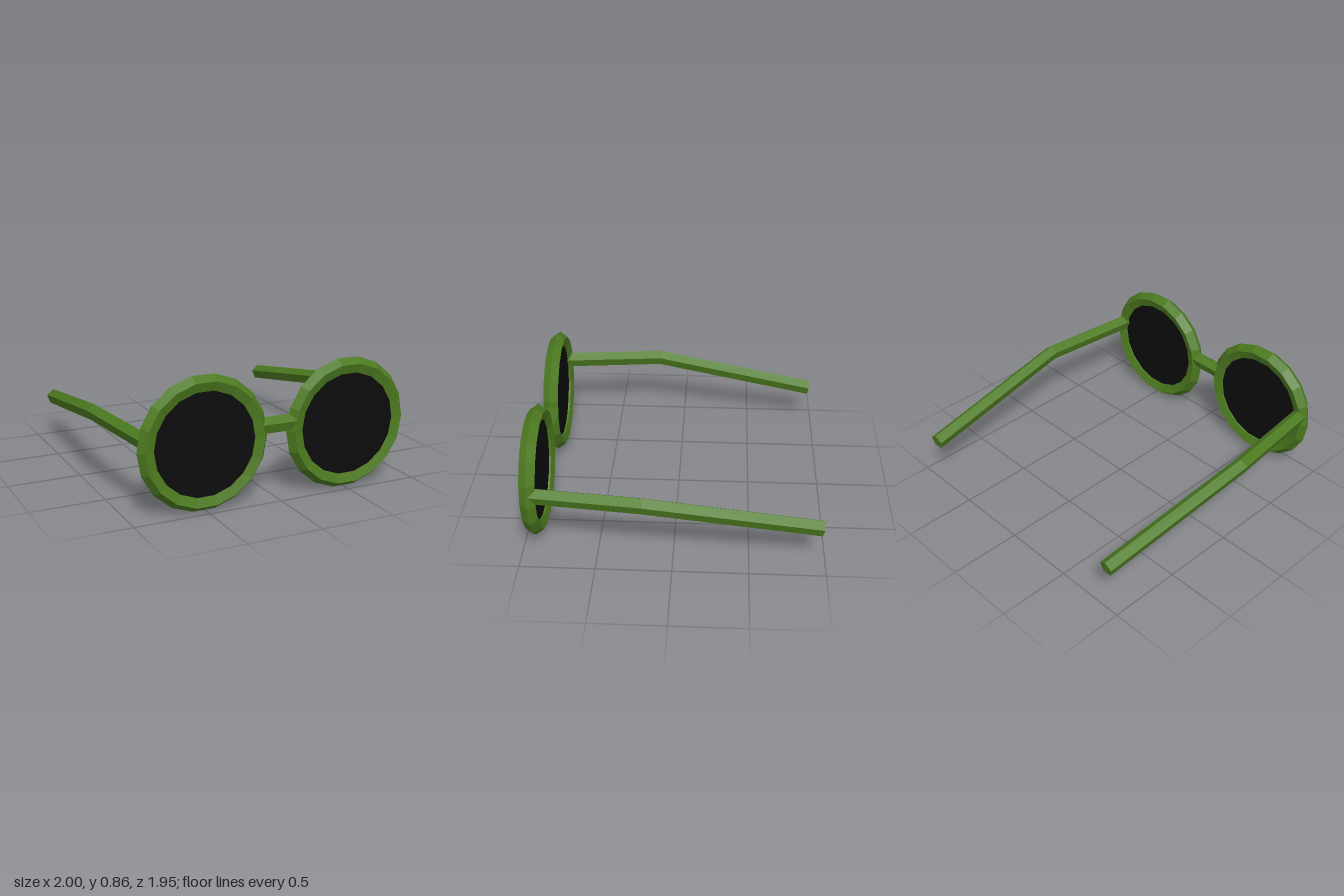
import * as THREE from 'three';

const TUBE = 0.055; // radius of every five-sided rod
const FRONT_Z = 0.923;
const BAR_Y = 0.49;

// Gives each facet its own flat normal.
function faceted(geometry) {
  const flat = geometry.index ? geometry.toNonIndexed() : geometry;
  flat.computeVertexNormals();
  return flat;
}

// Sweeps a pentagon, one corner up, along a list of points and caps both ends.
function pentagonRod(points) {
  const sides = 5;
  const positions = [];
  const index = [];
  const worldUp = new THREE.Vector3(0, 1, 0);
  points.forEach((p, i) => {
    const tangent = new THREE.Vector3();
    if (i > 0) tangent.add(p.clone().sub(points[i - 1]).normalize());
    if (i < points.length - 1) tangent.add(points[i + 1].clone().sub(p).normalize());
    tangent.normalize();
    const side = worldUp.clone().cross(tangent).normalize();
    const up = tangent.clone().cross(side);
    for (let k = 0; k < sides; k++) {
      const angle = Math.PI / 2 + (k * 2 * Math.PI) / sides;
      const v = p.clone()
        .addScaledVector(side, TUBE * Math.cos(angle))
        .addScaledVector(up, TUBE * Math.sin(angle));
      positions.push(v.x, v.y, v.z);
    }
  });
  for (let i = 0; i < points.length - 1; i++) {
    for (let k = 0; k < sides; k++) {
      const a = i * sides + k;
      const b = i * sides + ((k + 1) % sides);
      index.push(a, b, b + sides, a, b + sides, a + sides);
    }
  }
  const last = (points.length - 1) * sides;
  for (let k = 1; k < sides - 1; k++) {
    index.push(0, k + 1, k, last, last + k, last + k + 1);
  }
  const geometry = new THREE.BufferGeometry();
  geometry.setAttribute('position', new THREE.Float32BufferAttribute(positions, 3));
  geometry.setIndex(index);
  return faceted(geometry);
}

export function createModel() {
  const model = new THREE.Group();
  model.name = 'sunglasses';

  const frameGreen = new THREE.MeshStandardMaterial({ color: 0x4c7a1f });
  frameGreen.name = 'frame green';
  const lensBlack = new THREE.MeshStandardMaterial({ color: 0x0c0c0c });
  lensBlack.name = 'lens black';

  const add = (name, geometry, material) => {
    const mesh = new THREE.Mesh(geometry, material);
    mesh.name = name;
    model.add(mesh);
    return mesh;
  };

  for (const [label, s] of [['left', 1], ['right', -1]]) {
    // Round rim with a pentagonal section
    const rim = add(label + 'Rim', faceted(new THREE.TorusGeometry(0.384, TUBE, 5, 18)), frameGreen);
    rim.position.set(s * 0.507, 0.4325, FRONT_Z);

    // Dark lens set inside the rim
    const disc = new THREE.CylinderGeometry(0.35, 0.35, 0.05, 36);
    disc.rotateX(Math.PI / 2);
    const lens = add(label + 'Lens', disc, lensBlack);
    lens.position.set(s * 0.507, 0.4325, FRONT_Z + 0.005);

    // Temple arm: bows outwards, then drops towards the back
    add(label + 'Arm', pentagonRod([
      new THREE.Vector3(s * 0.875, BAR_Y, FRONT_Z),
      new THREE.Vector3(s * 0.947, BAR_Y, 0.19),
      new THREE.Vector3(s * 0.872, 0.295, -0.969),
    ]), frameGreen);
  }

  // Bridge between the rims
  add('bridge', pentagonRod([
    new THREE.Vector3(-0.125, BAR_Y, FRONT_Z),
    new THREE.Vector3(0.125, BAR_Y, FRONT_Z),
  ]), frameGreen);

  return model;
}
